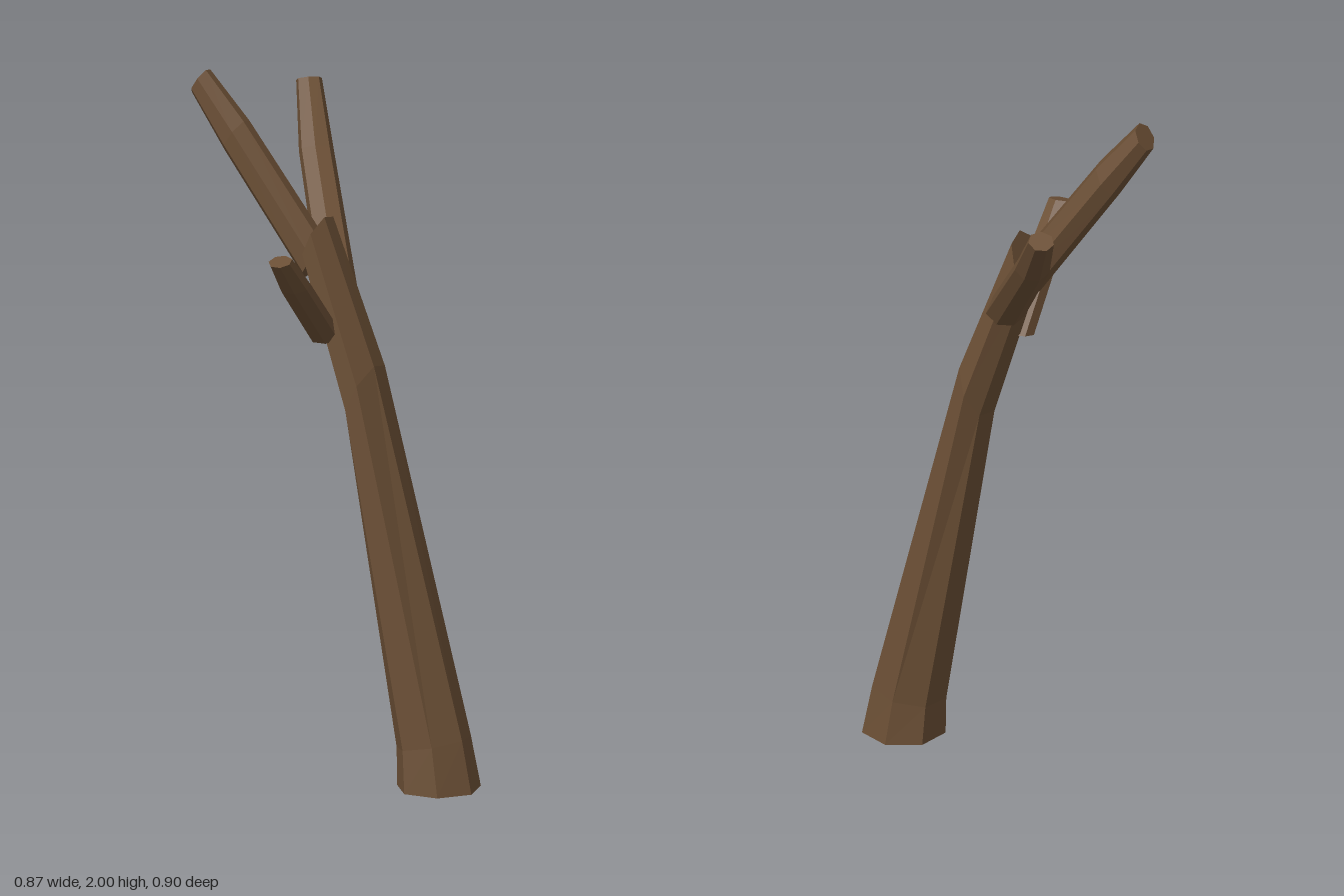
import * as THREE from 'three';

const SIDES = 7;
const bark = new THREE.MeshStandardMaterial({ color: 0x6b4f35, flatShading: true });

// Closed faceted limb; each ring is { at: centre, r: radius, up: ring normal }
function limb(name, rings) {
  const loops = rings.map(({ at, r, up }) => {
    const tilt = new THREE.Quaternion().setFromUnitVectors(
      new THREE.Vector3(0, 1, 0), new THREE.Vector3(...up).normalize());
    return Array.from({ length: SIDES }, (_, i) => {
      const a = -Math.PI / 2 + (i * 2 * Math.PI) / SIDES;
      return new THREE.Vector3(r * Math.cos(a), 0, r * Math.sin(a))
        .applyQuaternion(tilt).add(new THREE.Vector3(...at));
    });
  });
  const points = [];
  const first = new THREE.Vector3(...rings[0].at);
  const last = new THREE.Vector3(...rings[rings.length - 1].at);
  for (let i = 0; i < SIDES; i++) {
    const j = (i + 1) % SIDES;
    for (let k = 0; k + 1 < loops.length; k++) {
      const lo = loops[k], hi = loops[k + 1];
      points.push(lo[i], hi[i], lo[j], lo[j], hi[i], hi[j]);
    }
    const end = loops[loops.length - 1];
    points.push(first, loops[0][i], loops[0][j], last, end[j], end[i]);
  }
  const geometry = new THREE.BufferGeometry().setFromPoints(points);
  geometry.computeVertexNormals();
  const mesh = new THREE.Mesh(geometry, bark);
  mesh.name = name;
  return mesh;
}

// Ring normal leaning towards -x by the given degrees
const lean = (deg) => {
  const a = THREE.MathUtils.degToRad(deg);
  return [-Math.sin(a), Math.cos(a), 0];
};

export function createModel() {
  const tree = new THREE.Group();
  tree.name = 'bareTree';

  // Leaning trunk with a slightly flared foot
  tree.add(limb('trunk', [
    { at: [0.313, 0, 0.075], r: 0.12, up: [0, 1, 0] },
    { at: [0.296, 0.13, 0.075], r: 0.108, up: lean(11) },
    { at: [0.08, 1.115, 0.074], r: 0.095, up: lean(65) },
    { at: [-0.07, 1.54, 0.072], r: 0.077, up: lean(67) },
  ]));

  // Tallest branch, carrying on the lean of the trunk
  tree.add(limb('upperBranch', [
    { at: [-0.07, 1.48, 0.085], r: 0.06, up: lean(60) },
    { at: [-0.31, 1.82, 0.107], r: 0.055, up: lean(56) },
    { at: [-0.418, 1.965, 0.115], r: 0.042, up: lean(58) },
  ]));

  // Long branch reaching backwards
  tree.add(limb('backBranch', [
    { at: [-0.02, 1.375, 0.04], r: 0.056, up: [-0.25, 0.9, -0.35] },
    { at: [-0.26, 1.695, -0.28], r: 0.05, up: [-0.25, 0.9, -0.35] },
    { at: [-0.355, 1.855, -0.418], r: 0.037, up: [-0.25, 0.92, -0.32] },
  ]));

  // Short branch reaching forwards
  tree.add(limb('frontBranch', [
    { at: [-0.02, 1.275, 0.12], r: 0.046, up: [0, 0.97, 0.25] },
    { at: [-0.012, 1.465, 0.322], r: 0.045, up: [0, 0.97, 0.25] },
    { at: [-0.008, 1.56, 0.417], r: 0.034, up: [0, 0.95, 0.3] },
  ]));

  return tree;
}
